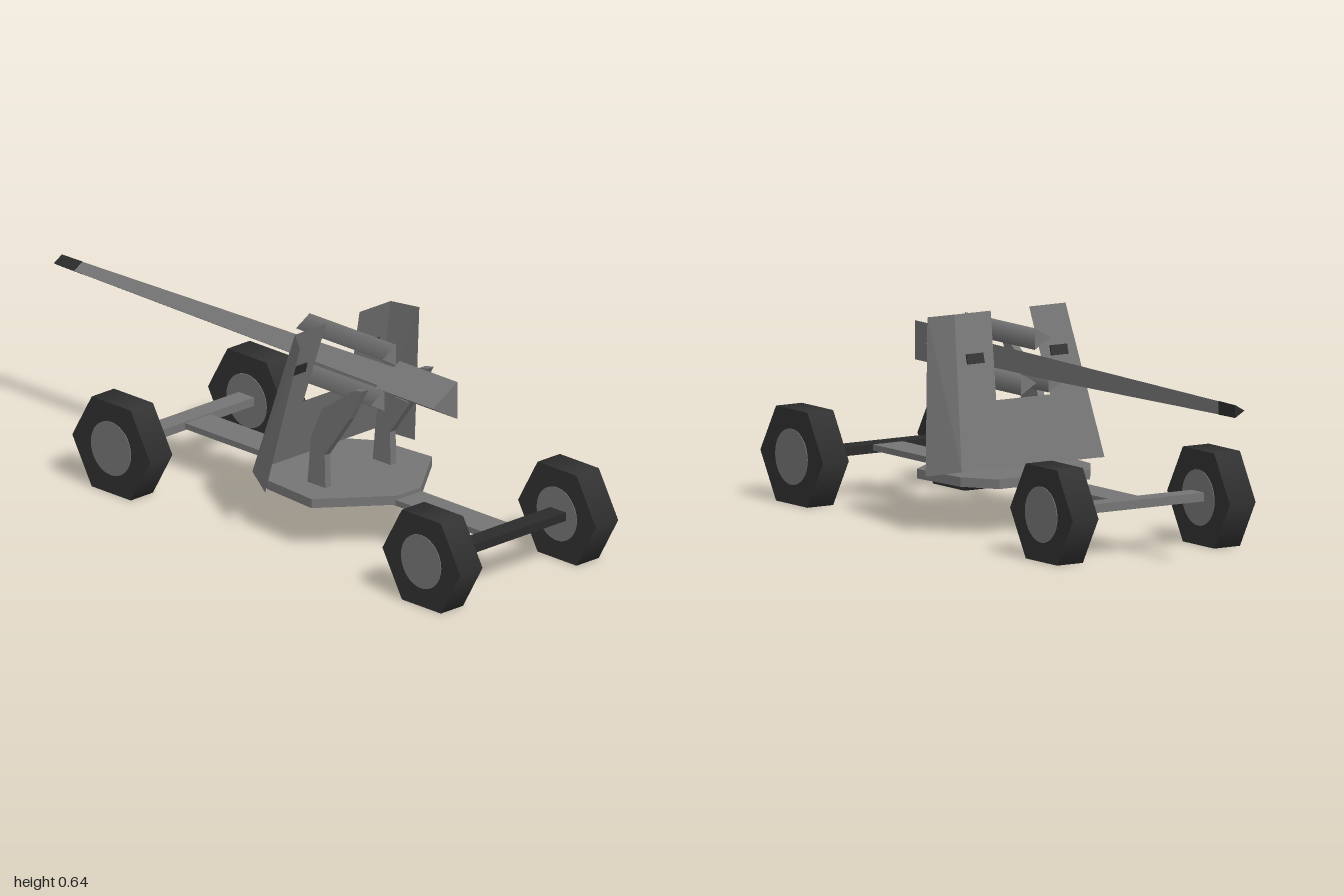
import * as THREE from 'three';

export function createModel() {
  const model = new THREE.Group();
  const paint = (name, color, extra = {}) => {
    const m = new THREE.MeshStandardMaterial({ color, ...extra });
    m.name = name;
    return m;
  };
  const steel = paint('steelGrey', 0x757575, { flatShading: true });
  const tubeSteel = paint('tubeGrey', 0x777777);
  const plate = paint('shieldGrey', 0x737373, { side: THREE.DoubleSide, flatShading: true });
  const rubber = paint('rubberBlack', 0x303030);
  const dark = paint('darkMetal', 0x2b2b2b, { flatShading: true });

  const add = (name, geometry, material, x = 0, y = 0, z = 0) => {
    const mesh = new THREE.Mesh(geometry, material);
    mesh.name = name;
    mesh.position.set(x, y, z);
    model.add(mesh);
    return mesh;
  };

  // Wheels: smooth six-sided tyres with round hub discs on both faces
  const tyre = new THREE.CylinderGeometry(0.162, 0.162, 0.091, 6, 1, false, Math.PI / 2).rotateX(Math.PI / 2);
  const hub = new THREE.CylinderGeometry(0.083, 0.083, 0.095, 32).rotateX(Math.PI / 2);
  for (const x of [-0.455, 0.835]) {
    for (const side of [-1, 1]) {
      add('tyre', tyre, rubber, x, 0.14, side * 0.2775);
      add('hub', hub, steel, x, 0.14, side * 0.2775);
    }
  }

  // Carriage: two axles and a flat beam
  add('forwardAxle', new THREE.BoxGeometry(0.064, 0.026, 0.466), steel, -0.455, 0.146, 0);
  add('rearAxle', new THREE.BoxGeometry(0.064, 0.026, 0.466), dark, 0.842, 0.142, 0);
  add('beam', new THREE.BoxGeometry(1.26, 0.018, 0.105), steel, 0.18, 0.146, 0);

  // Turntable platform
  const outline = [[0, -0.16], [0.1, -0.23], [0.3, -0.247], [0.455, -0.05],
    [0.455, 0.05], [0.3, 0.247], [0.1, 0.23], [0, 0.16]];
  const polygon = pts => new THREE.Shape(pts.map(p => new THREE.Vector2(p[0], p[1])));
  const platform = new THREE.ExtrudeGeometry(polygon(outline), { depth: 0.028, bevelEnabled: false });
  add('platform', platform.rotateX(Math.PI / 2), steel, 0, 0.168, 0);

  // Curved cradle arms
  const armProfile = [[0.19, 0.165], [0.265, 0.165], [0.262, 0.27], [0.365, 0.41],
    [0.42, 0.512], [0.385, 0.505], [0.25, 0.41], [0.205, 0.31]];
  const arm = new THREE.ExtrudeGeometry(polygon(armProfile), { depth: 0.023, bevelEnabled: false });
  add('cradleArm', arm, steel, 0, 0, 0.132);
  add('cradleArm', arm, steel, 0, 0, -0.135);

  // Three-sided barrel parts running along x
  const prism = (front, back, x0, x1) =>
    new THREE.CylinderGeometry(front, back, x1 - x0, 3).rotateZ(Math.PI / 2).translate((x0 + x1) / 2, 0, 0);
  add('muzzle', prism(0.022, 0.0235, -1, -0.915), dark, 0, 0.488, 0);
  add('barrel', prism(0.0225, 0.045, -0.915, 0.38), steel, 0, 0.488, 0);
  add('breech', prism(0.0667, 0.0667, 0.38, 0.62), steel, 0, 0.488, -0.002);
  for (const [y, z] of [[0.568, -0.003], [0.438, 0.045], [0.438, -0.052]]) {
    add('recoilTube', prism(0.037, 0.037, 0.02, 0.38), tubeSteel, 0, y, z);
  }

  // Leaning shield with a notch for the barrel
  const lean = y => 0.06 + (y - 0.19) * 0.27;
  const face = new THREE.ShapeGeometry(polygon([[-0.252, 0.19], [0.252, 0.19], [0.196, 0.635], [0.068, 0.635],
    [0.095, 0.382], [-0.095, 0.382], [-0.068, 0.635], [-0.196, 0.635]]));
  const pos = face.attributes.position;
  for (let i = 0; i < pos.count; i++) pos.setXYZ(i, lean(pos.getY(i)), pos.getY(i), pos.getX(i));
  face.computeVertexNormals();
  add('shieldFace', face, plate);

  for (const side of [-1, 1]) {
    // Swept-back shield wing
    const wing = new THREE.BufferGeometry();
    const corners = [[0.06, 0.19, 0.252], [0.168, 0.168, 0.306], [0.25, 0.622, 0.244], [0.18, 0.635, 0.196]];
    wing.setAttribute('position', new THREE.Float32BufferAttribute(
      corners.flatMap(([x, y, z]) => [x, y, z * side]), 3));
    wing.setIndex([0, 1, 2, 0, 2, 3]);
    wing.computeVertexNormals();
    add('shieldWing', wing, plate);

    // Dark sight slot on the shield
    const slot = add('sightSlot', new THREE.BoxGeometry(0.009, 0.03, 0.06), dark, lean(0.505), 0.505, side * 0.148);
    slot.rotation.z = -Math.atan(0.27);
  }

  return model;
}
